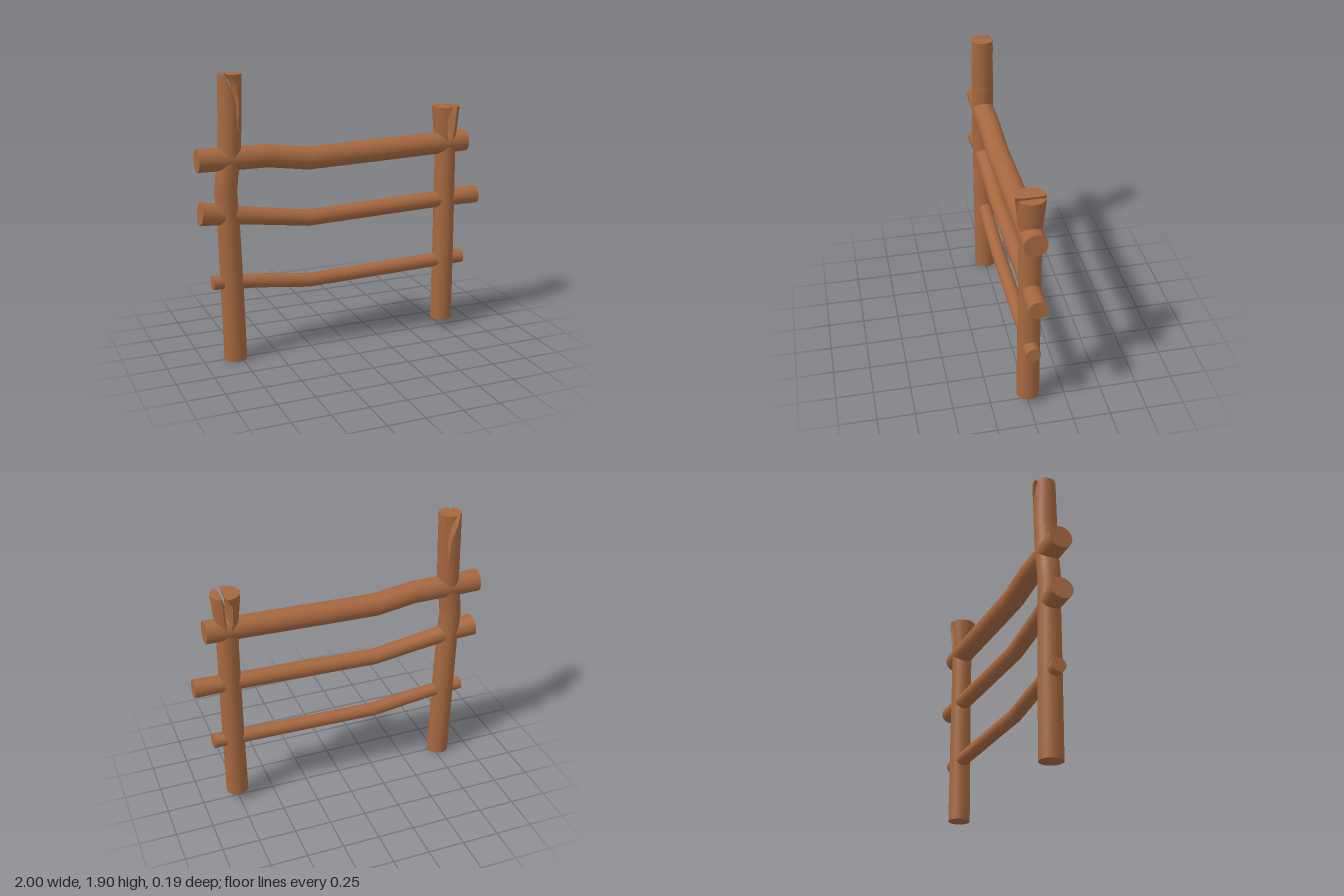
import * as THREE from 'three';
import { mergeGeometries } from 'three/addons/utils/BufferGeometryUtils.js';

const SIDES = 24;

// Skin between successive rings of points; closed rings share their seam
function skin(rings, closed) {
  const n = rings[0].length, pos = [], idx = [];
  rings.forEach(r => r.forEach(p => pos.push(p.x, p.y, p.z)));
  for (let i = 0; i < rings.length - 1; i++) {
    for (let j = 0; j < (closed ? n : n - 1); j++) {
      const k = (j + 1) % n;
      const a = i * n + j, b = i * n + k, c = a + n, d = b + n;
      idx.push(a, b, d, a, d, c);
    }
  }
  return finish(pos, idx);
}

// Flat fan over a convex ring
function cap(ring, flip) {
  const pos = [], idx = [];
  ring.forEach(p => pos.push(p.x, p.y, p.z));
  for (let j = 1; j < ring.length - 1; j++) {
    if (flip) idx.push(0, j + 1, j);
    else idx.push(0, j, j + 1);
  }
  return finish(pos, idx);
}

function finish(pos, idx) {
  const g = new THREE.BufferGeometry();
  g.setAttribute('position', new THREE.Float32BufferAttribute(pos, 3));
  g.setIndex(idx);
  g.computeVertexNormals();
  return g;
}

// Round log through [x, y, radius] stations, cut square at both ends
function log(stations) {
  const last = stations.length - 1;
  const rings = stations.map(([x, y, r], i) => {
    const a = stations[Math.max(i - 1, 0)], b = stations[Math.min(i + 1, last)];
    const t = new THREE.Vector2(b[0] - a[0], b[1] - a[1]).normalize();
    return Array.from({ length: SIDES }, (_, j) => {
      const q = j / SIDES * Math.PI * 2, u = Math.cos(q) * r;
      return new THREE.Vector3(x - t.y * u, y + t.x * u, Math.sin(q) * r);
    });
  });
  return mergeGeometries([skin(rings, true), cap(rings[0], true), cap(rings[last], false)]);
}

// One side of a split post top; levels are [y, centreX, radius, leftCut, rightCut, flare]
function splitHalf(levels, right) {
  const arcs = [], inner = [];
  for (const [y, cx, r, cutL, cutR, flare] of levels) {
    const cut = right ? cutR : cutL;
    const edge = right ? cut + flare : cut - flare;
    const a0 = Math.acos((cx - edge) / r);
    const from = right ? a0 : -a0, to = right ? Math.PI * 2 - a0 : a0;
    const arc = Array.from({ length: 15 }, (_, j) => {
      const q = from + (to - from) * j / 14;
      return new THREE.Vector3(cx - r * Math.cos(q), y, r * Math.sin(q));
    });
    const z = arc[14].z * 0.6;
    arcs.push(arc);
    inner.push([arc[14], new THREE.Vector3(cut, y, z), new THREE.Vector3(cut, y, -z), arc[0]]);
  }
  const parts = [skin(arcs, false)];
  for (let k = 0; k < 3; k++) parts.push(skin(inner.map(p => [p[k], p[k + 1]]), false));
  const top = levels.length - 1;
  parts.push(cap([...arcs[top], inner[top][1], inner[top][2]], false));
  return mergeGeometries(parts);
}

export function createModel() {
  const wood = new THREE.MeshStandardMaterial({ color: 0xa5673f });
  wood.name = 'brown wood';
  const model = new THREE.Group();
  model.name = 'fence';
  const add = (name, geometry, parent = model) => {
    const mesh = new THREE.Mesh(geometry, wood);
    mesh.name = name;
    parent.add(mesh);
  };

  // Posts: solid trunk below, two split halves above
  const addPost = (name, trunk, split) => {
    const post = new THREE.Group();
    post.name = name;
    add(name + 'Trunk', log(trunk), post);
    add(name + 'SplitLeft', splitHalf(split, true), post);
    add(name + 'SplitRight', splitHalf(split, false), post);
    model.add(post);
  };
  addPost('tallPost',
    [[-0.785, 0, 0.075], [-0.795, 0.5, 0.075], [-0.806, 0.95, 0.072], [-0.818, 1.15, 0.073],
      [-0.806, 1.26, 0.073], [-0.785, 1.38, 0.073], [-0.78, 1.55, 0.074]],
    [[1.55, -0.78, 0.074, -0.745, -0.745, 0], [1.72, -0.775, 0.075, -0.745, -0.745, 0.012],
      [1.84, -0.772, 0.075, -0.788, -0.76, 0.012], [1.9, -0.77, 0.075, -0.81, -0.795, 0.006]]);
  addPost('shortPost',
    [[0.755, 0.06, 0.075], [0.757, 0.6, 0.073], [0.755, 1.15, 0.071], [0.752, 1.345, 0.071]],
    [[1.345, 0.752, 0.071, 0.745, 0.762, 0], [1.42, 0.751, 0.078, 0.745, 0.764, 0.018],
      [1.54, 0.75, 0.09, 0.745, 0.77, 0.018], [1.6, 0.75, 0.095, 0.765, 0.785, 0.008]]);

  // Rails: sagging bars passing through both posts
  add('topRail', log([[-1, 1.366, 0.075], [-0.8, 1.362, 0.075], [-0.53, 1.36, 0.075],
    [-0.26, 1.32, 0.075], [0, 1.326, 0.075], [0.9, 1.35, 0.075]]));
  add('middleRail', log([[-0.99, 1.02, 0.077], [-0.77, 0.99, 0.06], [-0.53, 0.955, 0.056],
    [-0.26, 0.916, 0.055], [0, 0.924, 0.055], [0.72, 0.945, 0.056], [1, 0.951, 0.062]]));
  add('bottomRail', log([[-0.925, 0.547, 0.046], [-0.75, 0.537, 0.046], [-0.53, 0.513, 0.047],
    [-0.26, 0.478, 0.047], [0, 0.484, 0.047], [0.9, 0.505, 0.049]]));

  return model;
}
